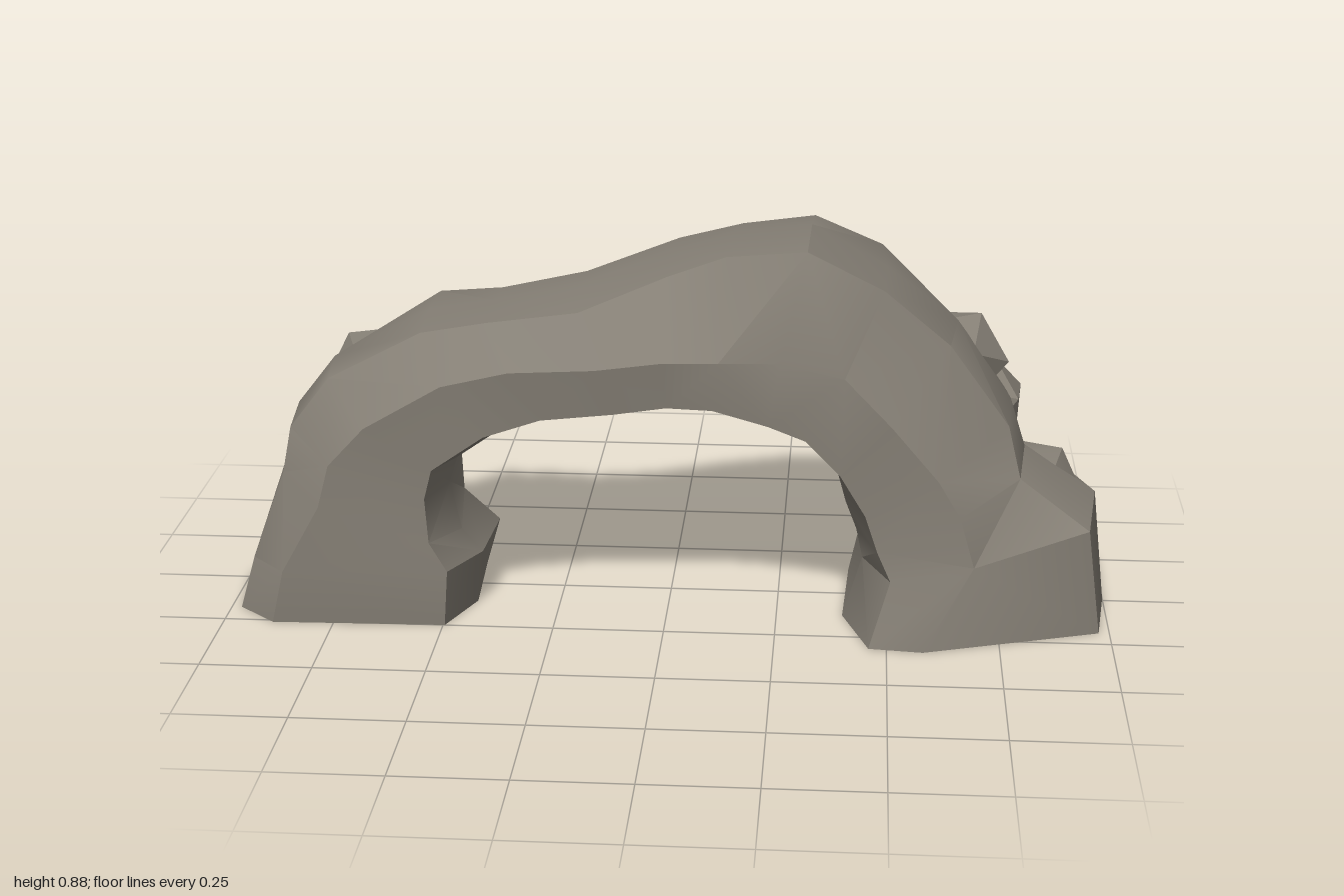
import * as THREE from 'three';
import { toCreasedNormals } from 'three/addons/utils/BufferGeometryUtils.js';

// Stations along the arch: outer x,y, inner x,y, front z, back z, crest front z, front shoulder height
const stations = [
  [-1, 0, -0.44, 0, 0.26, -0.27, 0.18, 0.8],
  [-0.96, 0.12, -0.43, 0.13, 0.27, -0.28, 0.18, 0.8],
  [-0.89, 0.33, -0.48, 0.18, 0.265, -0.24, 0.15, 0.72],
  [-0.87, 0.43, -0.5, 0.3, 0.265, -0.22, 0.12, 0.65],
  [-0.78, 0.54, -0.48, 0.36, 0.265, -0.26, 0.1, 0.6],
  [-0.55, 0.66, -0.38, 0.43, 0.265, -0.26, 0.14, 0.65],
  [-0.4, 0.69, -0.25, 0.48, 0.265, -0.23, 0.16, 0.6],
  [-0.2, 0.73, -0.1, 0.5, 0.27, -0.25, 0.16, 0.5],
  [0, 0.8, 0, 0.5, 0.27, -0.29, 0.12, 0.45],
  [0.14, 0.86, 0.1, 0.49, 0.27, -0.32, 0.15, 0.4],
  [0.31, 0.885, 0.22, 0.46, 0.27, -0.32, 0.18, 0.45],
  [0.49, 0.79, 0.3, 0.43, 0.27, -0.28, 0.16, 0.5],
  [0.64, 0.65, 0.37, 0.36, 0.275, -0.27, 0.1, 0.5],
  [0.77, 0.47, 0.41, 0.27, 0.27, -0.27, 0.1, 0.55],
  [0.81, 0.36, 0.43, 0.2, 0.28, -0.28, 0.14, 0.6],
  [0.97, 0.26, 0.45, 0.14, 0.29, -0.31, 0.2, 0.45],
  [1, 0, 0.4, 0, 0.325, -0.3, 0.19, 0.3],
];

// Repeatable noise in -1..1
function noise(n) {
  const s = Math.sin(n * 127.1 + 11.7) * 43758.5453;
  return (s - Math.floor(s)) * 2 - 1;
}

// Nine-point cross-section: crest, back, underside, front
function ring(row, i) {
  const [xo, yo, xi, yi, zf, zb, crest, shoulder] = row;
  const points = [
    [0.96, crest], [1, (crest + zb * 0.7) / 2], [0.93, zb * 0.75],
    [0.62, zb], [0.25, zb * 0.92], [0.02, zb * 0.5],
    [0, zf * 0.4], [0.1, zf * 0.96], [shoulder, zf],
  ];
  const base = i === 0 || i === stations.length - 1;
  return points.map(([s, z], j) => {
    const k = i * 9 + j;
    const rough = base ? 0 : j > 1 && j < 6 ? 0.022 : 0.008;
    return [
      xi + (xo - xi) * s + noise(k) * rough,
      yi + (yo - yi) * s + noise(k + 500) * rough,
      z + noise(k + 900) * rough * 0.5,
    ];
  });
}

function archGeometry() {
  const rings = stations.map(ring);
  const pos = [];
  const tri = (a, b, c) => pos.push(...a, ...b, ...c);
  for (let i = 0; i < rings.length - 1; i++) {
    for (let j = 0; j < 9; j++) {
      const n = (j + 1) % 9;
      const a = rings[i][j], b = rings[i + 1][j], c = rings[i][n], d = rings[i + 1][n];
      if ((i + j) % 2) { tri(a, b, d); tri(a, d, c); }
      else { tri(a, b, c); tri(b, d, c); }
    }
  }
  // Flat undersides of both feet
  const first = rings[0], last = rings[rings.length - 1];
  for (let j = 1; j < 8; j++) {
    tri(first[0], first[j], first[j + 1]);
    tri(last[0], last[j + 1], last[j]);
  }
  const geo = new THREE.BufferGeometry();
  geo.setAttribute('position', new THREE.Float32BufferAttribute(pos, 3));
  return toCreasedNormals(geo, 0.6);
}

export function createModel() {
  const group = new THREE.Group();
  group.name = 'rockArch';
  const stone = new THREE.MeshStandardMaterial({ color: 0x857f75 });
  stone.name = 'stone';

  const arch = new THREE.Mesh(archGeometry(), stone);
  arch.name = 'archBody';
  group.add(arch);

  // Crags half sunk into the shoulders: position, size, turn
  const crags = [
    [0.64, 0.54, -0.14, 0.13, 0.12, 0.13, 0.4],
    [0.71, 0.42, -0.17, 0.11, 0.12, 0.1, 1.1],
    [0.83, 0.24, -0.08, 0.13, 0.12, 0.17, 0.2],
    [-0.7, 0.46, -0.17, 0.13, 0.12, 0.1, 0.8],
    [-0.54, 0.57, -0.19, 0.1, 0.08, 0.08, 0.3],
  ];
  crags.forEach(([x, y, z, sx, sy, sz, turn], i) => {
    const geo = new THREE.IcosahedronGeometry(1, 0);
    geo.rotateY(turn).rotateX(turn * 0.5).scale(sx, sy, sz);
    const crag = new THREE.Mesh(toCreasedNormals(geo, 0.6), stone);
    crag.name = 'crag' + (i + 1);
    crag.position.set(x, y, z);
    group.add(crag);
  });
  return group;
}
